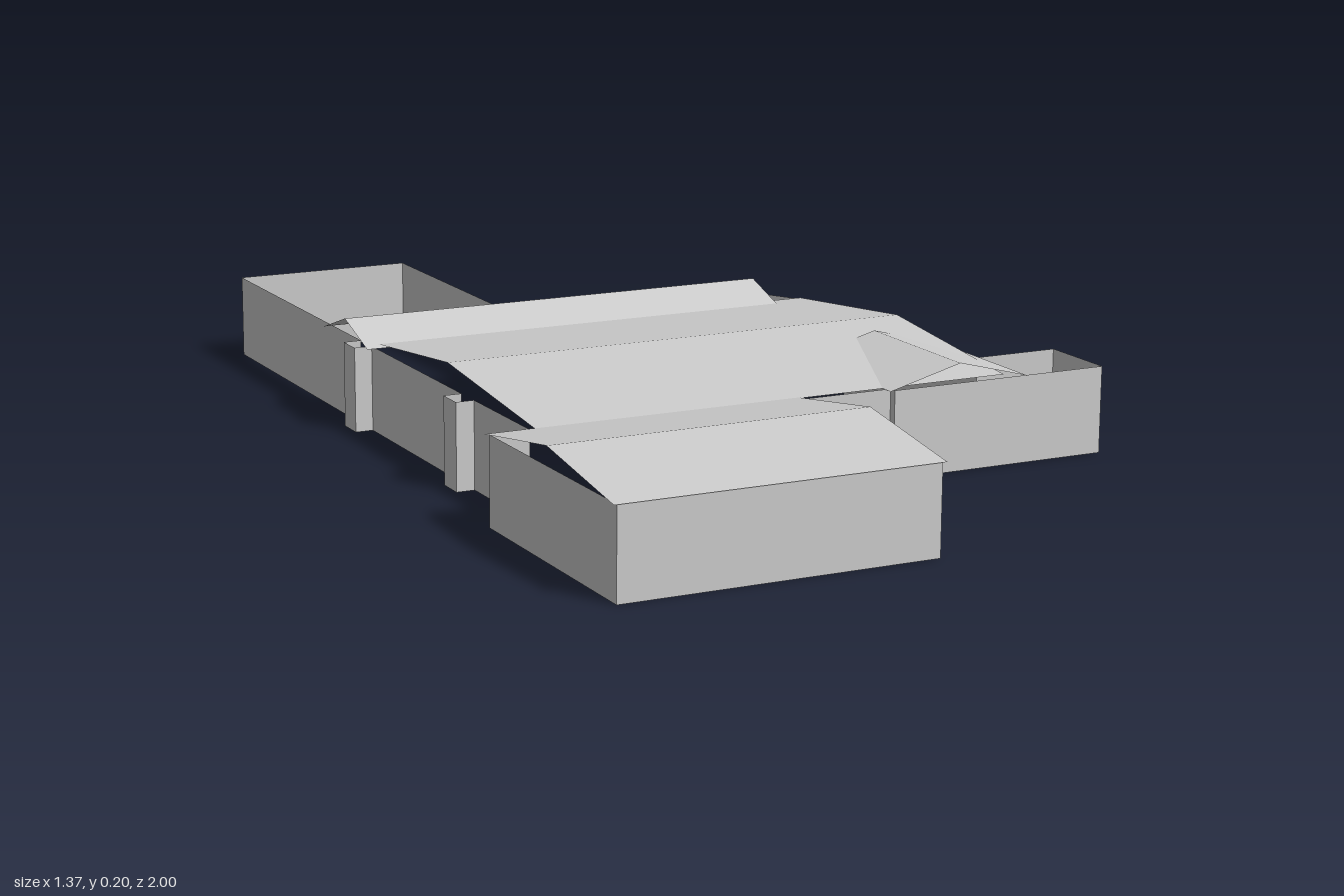
import * as THREE from 'three';

const WALL_TOP = 0.165;
const RIDGE = 0.203;
const material = new THREE.MeshStandardMaterial({
  color: 0xcccccc, flatShading: true, side: THREE.DoubleSide,
});

// Thin surface made of separate quads, each given as four corners
function quadMesh(name, quads) {
  const positions = quads.flatMap(([a, b, c, d]) => [a, b, c, a, c, d].flat());
  const geometry = new THREE.BufferGeometry();
  geometry.setAttribute('position', new THREE.Float32BufferAttribute(positions, 3));
  geometry.computeVertexNormals();
  const mesh = new THREE.Mesh(geometry, material);
  mesh.name = name;
  return mesh;
}

// Upright walls along a closed plan outline of [x, z] points
function walls(name, outline) {
  return quadMesh(name, outline.map(([x0, z0], i) => {
    const [x1, z1] = outline[(i + 1) % outline.length];
    return [[x0, 0, z0], [x1, 0, z1], [x1, WALL_TOP, z1], [x0, WALL_TOP, z0]];
  }));
}

// Two roof slopes with open ends; the ridge runs along x or along z
function gableRoof(name, x0, x1, z0, z1, ridgeAlongX = true) {
  const xm = (x0 + x1) / 2, zm = (z0 + z1) / 2;
  const E = WALL_TOP, R = RIDGE;
  return quadMesh(name, ridgeAlongX
    ? [
      [[x0, E, z1], [x1, E, z1], [x1, R, zm], [x0, R, zm]],
      [[x0, R, zm], [x1, R, zm], [x1, E, z0], [x0, E, z0]],
    ]
    : [
      [[x0, E, z0], [x0, E, z1], [xm, R, z1], [xm, R, z0]],
      [[xm, R, z0], [xm, R, z1], [x1, E, z1], [x1, E, z0]],
    ]);
}

export function createModel() {
  const model = new THREE.Group();
  model.name = 'house';

  // The plan is laid out square, then turned on the site
  const plan = new THREE.Group();
  plan.name = 'building';
  plan.rotation.y = THREE.MathUtils.degToRad(-17.55);
  model.add(plan);

  const left = -0.324;
  // Small pier stepping out of the long side wall
  const pier = (z) => [[left, z], [left - 0.035, z], [left - 0.035, z + 0.055], [left, z + 0.055]];

  plan.add(walls('outerWalls', [
    // rear yard and long side wall with piers
    [0.04, -0.946], [left, -0.946],
    ...pier(-0.28), ...pier(0.2),
    // front wing
    [left, 0.49], [-0.4, 0.49], [-0.4, 0.978], [0.197, 0.978], [0.197, 0.5],
    // front porch
    [0.385, 0.5], [0.385, 0.515], [0.83, 0.515], [0.83, 0.355], [0.66, 0.355],
    // far side with its cut corner
    [0.63, -0.24], [0.53, -0.411], [0.04, -0.411],
  ]));

  plan.add(
    gableRoof('mainRoof', -0.314, 0.63, -0.262, 0.492),
    gableRoof('rearRoof', -0.343, 0.548, -0.427, -0.2),
    gableRoof('wingRoof', -0.407, 0.203, 0.485, 0.982),
    gableRoof('porchRoof', 0.373, 0.664, 0.217, 0.52, false),
  );

  return model;
}
